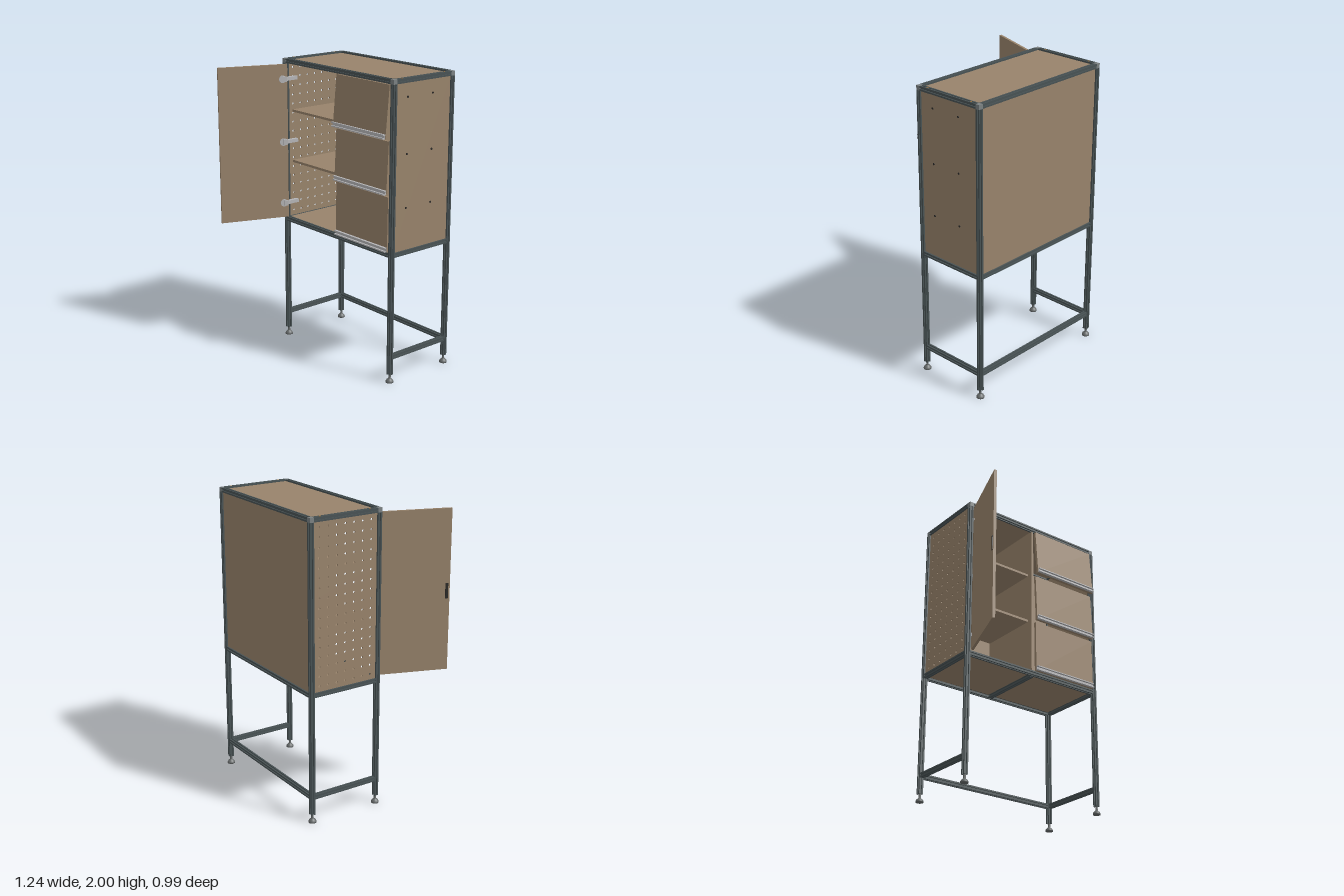
import * as THREE from 'three';

const mat = (name, color) => {
  const m = new THREE.MeshStandardMaterial({ color });
  m.name = name;
  return m;
};

export function createModel() {
  const wood = mat('brown board', 0x98836b);
  const steel = mat('dark slate frame', 0x485254);
  const alu = mat('brushed aluminium', 0xb4b4b6);
  const grey = mat('corner grey', 0x7b8182);
  const footGrey = mat('foot grey', 0x666a6a);
  const black = mat('dark fittings', 0x2c2a28);
  const brass = mat('brass screw', 0x9a7440);

  const model = new THREE.Group();
  const add = (name, geo, material, x, y, z, parent = model) => {
    const m = new THREE.Mesh(geo, material);
    m.name = name;
    m.position.set(x, y, z);
    parent.add(m);
    return m;
  };
  const box = (name, material, x0, x1, y0, y1, z0, z1, parent = model) =>
    add(name, new THREE.BoxGeometry(x1 - x0, y1 - y0, z1 - z0), material,
      (x0 + x1) / 2, (y0 + y1) / 2, (z0 + z1) / 2, parent);

  // Post centres and overall levels
  const XL = -0.478, XR = 0.591, ZF = 0.023, ZB = -0.473;
  const XM = (XL + XR) / 2, ZM = (ZF + ZB) / 2;
  const H = 0.015, TOP = 1.985, MID = 0.875, LOW = 0.177;

  // Slotted square profile, one slot in each face
  const section = new THREE.Shape();
  const side = [[-H, -H], [-0.004, -H], [-0.004, -0.007], [0.004, -0.007], [0.004, -H]];
  const outline = [];
  for (let k = 0; k < 4; k++) {
    const c = Math.round(Math.cos(k * Math.PI / 2)), s = Math.round(Math.sin(k * Math.PI / 2));
    for (const [x, y] of side) outline.push(new THREE.Vector2(x * c - y * s, x * s + y * c));
  }
  section.setFromPoints(outline);
  const bar = (name, axis, length, x, y, z) => {
    const geo = new THREE.ExtrudeGeometry(section, { depth: length, bevelEnabled: false });
    geo.translate(0, 0, -length / 2);
    if (axis === 'x') geo.rotateY(Math.PI / 2);
    if (axis === 'y') geo.rotateX(Math.PI / 2);
    add(name, geo, steel, x, y, z);
  };

  // Posts with corner connectors and levelling feet
  const footProfile = [[0, 0], [0.026, 0], [0.026, 0.008], [0.021, 0.018], [0.011, 0.026],
    [0.008, 0.03], [0.008, 0.056]].map(([r, y]) => new THREE.Vector2(r, y));
  const footGeo = new THREE.LatheGeometry(footProfile, 24);
  for (const x of [XL, XR]) for (const z of [ZF, ZB]) {
    bar('post', 'y', 1.97 - 0.054, x, (1.97 + 0.054) / 2, z);
    box('cornerConnector', grey, x - H, x + H, 1.97, 2, z - H, z + H);
    add('foot', footGeo, footGrey, x, 0, z);
  }

  // Rails: full rings at the top and middle, a U without the front at the bottom
  const lenX = XR - XL - 2 * H, lenZ = ZF - ZB - 2 * H;
  for (const y of [TOP, MID, LOW]) {
    for (const x of [XL, XR]) bar('sideRail', 'z', lenZ, x, y, ZM);
    bar('backRail', 'x', lenX, XM, y, ZB);
    if (y !== LOW) bar('frontRail', 'x', lenX, XM, y, ZF);
  }
  bar('floorSupport', 'z', lenZ, 0.06, MID - 0.004, ZM);

  // Boards held in the slots
  const x0 = XL + 0.008, x1 = XR - 0.008, z0 = ZB + 0.008, z1 = ZF - 0.008;
  const y0 = MID + 0.008, y1 = TOP - 0.008, t = 0.004;
  box('topPanel', wood, x0, x1, TOP - t, TOP + t, z0, z1);
  box('floorPanel', wood, x0, x1, MID + 0.004, MID + 0.014, z0, z1);
  box('backPanel', wood, x0, x1, y0, y1, ZB - t, ZB + t);
  box('plainSidePanel', wood, XR - t, XR + t, y0, y1, z0, z1);

  // Perforated side panel
  const peg = new THREE.Shape();
  peg.moveTo(z0, y0);
  peg.lineTo(z1, y0);
  peg.lineTo(z1, y1);
  peg.lineTo(z0, y1);
  for (let i = 0; i < 7; i++) for (let j = 0; j < 17; j++) {
    const hole = new THREE.Path();
    hole.absarc(ZM + (i - 3) * 0.064, (y0 + y1) / 2 + (j - 8) * 0.063, 0.008, 0, Math.PI * 2, true);
    peg.holes.push(hole);
  }
  const pegGeo = new THREE.ExtrudeGeometry(peg, { depth: 2 * t, bevelEnabled: false, curveSegments: 6 });
  pegGeo.translate(0, 0, -t);
  pegGeo.rotateY(-Math.PI / 2);
  add('perforatedSidePanel', pegGeo, wood, XL, 0, 0);

  // Screws on the plain side and on the top rails
  const screwGeo = new THREE.CylinderGeometry(0.007, 0.007, 0.004, 12);
  for (const y of [1.88, 1.52, 1.17]) for (const z of [-0.09, -0.305])
    add('sideScrew', screwGeo, black, XR + t + 0.001, y, z).rotation.z = Math.PI / 2;
  for (const x of [XL, XR]) for (const z of [-0.408, -0.043])
    add('railScrew', screwGeo, brass, x, 1.999, z);

  // Divider and shelves
  box('divider', wood, 0.05, 0.067, 0.889, 1.972, ZB + 0.012, 0.02);
  for (const y of [1.282, 1.637])
    box('shelf', wood, XL + 0.012, 0.05, y - 0.008, y + 0.008, ZB + 0.016, -0.02);

  // Open door, modelled closed and swung about its edge
  const door = new THREE.Group();
  door.name = 'door';
  door.position.set(-0.441, 0, 0.04);
  door.rotation.y = -1.92;
  model.add(door);
  box('doorBoard', wood, 0, 0.48, 0.897, 1.965, 0, 0.018, door);
  box('doorPull', black, 0.45, 0.468, 1.38, 1.48, 0.016, 0.022, door);
  const cupGeo = new THREE.CylinderGeometry(0.026, 0.026, 0.006, 20);
  for (const y of [1.865, 1.432, 1.0]) {
    add('hingeCup', cupGeo, alu, 0.034, y, -0.002, door).rotation.x = Math.PI / 2;
    box('hingeKnuckle', alu, 0.006, 0.034, y - 0.018, y + 0.018, -0.014, 0, door);
    box('hingeArm', alu, -0.463, -0.437, y - 0.012, y + 0.012, -0.045, 0.045);
  }

  // Top-hung flaps, each opened a little less than the one above
  const grip = new THREE.Shape([[0, 0], [0.018, 0], [0.018, 0.008], [0.005, 0.008], [0.005, 0.024],
    [0.018, 0.024], [0.018, 0.031], [0, 0.031]].map(([z, y]) => new THREE.Vector2(z, y)));
  const gripGeo = new THREE.ExtrudeGeometry(grip, { depth: 0.494, bevelEnabled: false });
  gripGeo.rotateY(-Math.PI / 2);
  [[1.965, 1.627, 0.09], [1.612, 1.27, 0.05], [1.256, 0.895, 0.012]].forEach(([top, bottom, angle]) => {
    const flap = new THREE.Group();
    flap.name = 'flap';
    flap.position.set(0.32, top, 0.022);
    flap.rotation.x = -angle;
    model.add(flap);
    box('flapBoard', wood, -0.249, 0.251, bottom - top, 0, 0, 0.018, flap);
    // Extrusion runs towards -x after turning; profile depth faces forward
    add('flapHandle', gripGeo, alu, 0.247, bottom - top, 0.018, flap);
  });

  return model;
}
